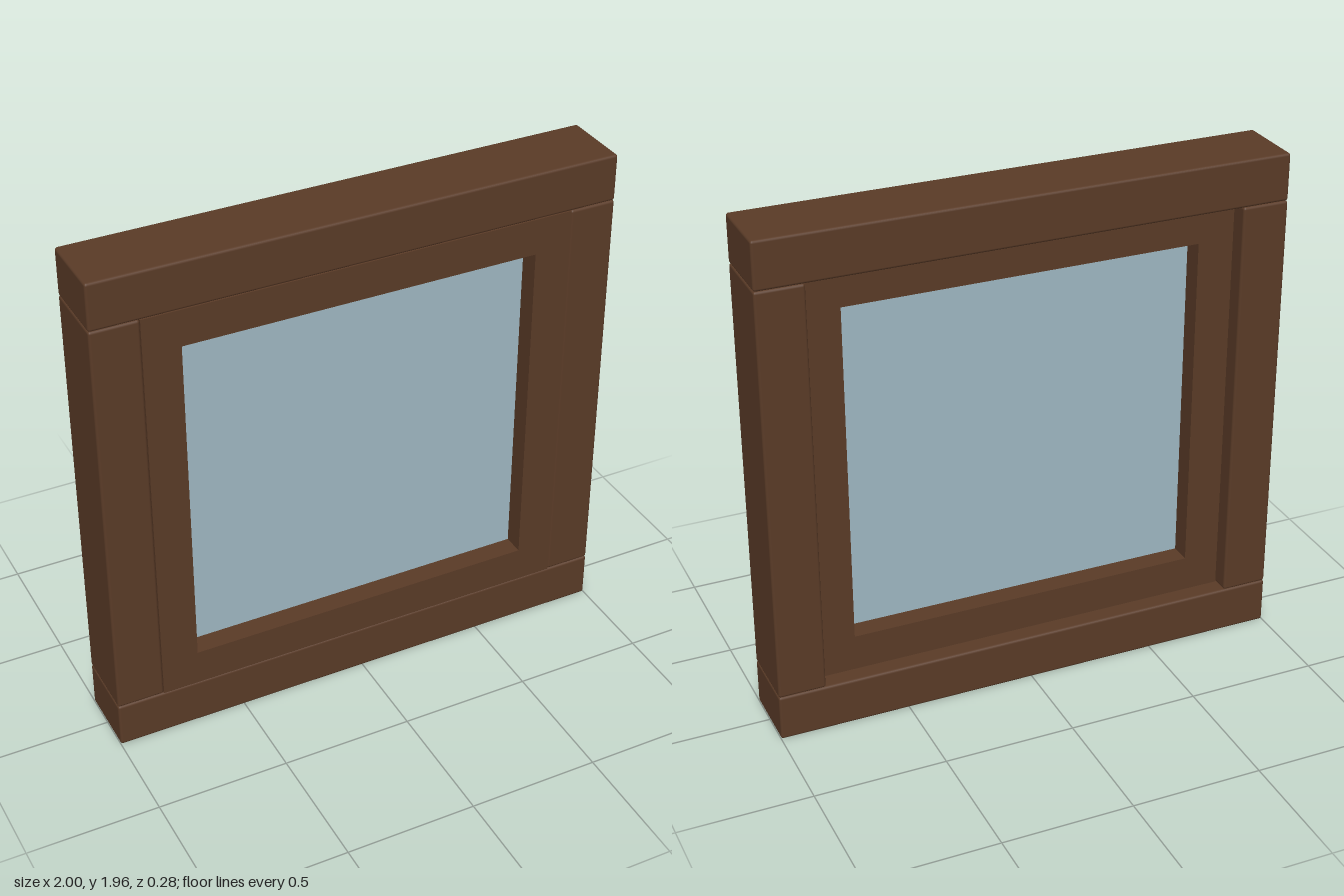
import * as THREE from 'three';
import { RoundedBoxGeometry } from 'three/addons/geometries/RoundedBoxGeometry.js';

const HEIGHT = 1.96, DEPTH = 0.275, BAR = 0.18;   // outer frame
const SASH_DEPTH = 0.205, SASH_BAR = 0.14;        // inner frame, flush with the front
const GLASS_DEPTH = 0.04;

export function createModel() {
  const model = new THREE.Group();
  const wood = new THREE.MeshStandardMaterial({ color: 0x5a3b27 });
  const glass = new THREE.MeshStandardMaterial({ color: 0x9fb8c3 });

  const add = (name, geometry, material, x, y, z) => {
    const mesh = new THREE.Mesh(geometry, material);
    mesh.name = name;
    mesh.position.set(x, y, z);
    model.add(mesh);
  };

  const midY = HEIGHT / 2;
  const innerW = 2 - 2 * BAR, innerH = HEIGHT - 2 * BAR;

  // Outer frame: full-width rails with posts between them, edges softly rounded
  const rail = new RoundedBoxGeometry(2, BAR, DEPTH, 2, 0.01);
  add('bottomRail', rail, wood, 0, BAR / 2, 0);
  add('topRail', rail, wood, 0, HEIGHT - BAR / 2, 0);
  const post = new RoundedBoxGeometry(BAR, innerH, DEPTH, 2, 0.01);
  add('leftPost', post, wood, 1 - BAR / 2, midY, 0);
  add('rightPost', post, wood, -1 + BAR / 2, midY, 0);

  // Sash: one flat ring with a rectangular opening
  const rectangle = (path, w, h) => path.setFromPoints([
    new THREE.Vector2(-w / 2, -h / 2), new THREE.Vector2(w / 2, -h / 2),
    new THREE.Vector2(w / 2, h / 2), new THREE.Vector2(-w / 2, h / 2),
  ]);
  const openW = innerW - 2 * SASH_BAR, openH = innerH - 2 * SASH_BAR;
  const ring = rectangle(new THREE.Shape(), innerW, innerH);
  ring.holes.push(rectangle(new THREE.Path(), openW, openH));
  const sashBack = DEPTH / 2 - SASH_DEPTH;
  add('sash', new THREE.ExtrudeGeometry(ring, { depth: SASH_DEPTH, bevelEnabled: false }),
    wood, 0, midY, sashBack);

  // Pane centred in the sash thickness
  add('glassPane', new THREE.BoxGeometry(openW, openH, GLASS_DEPTH),
    glass, 0, midY, sashBack + SASH_DEPTH / 2);

  return model;
}
